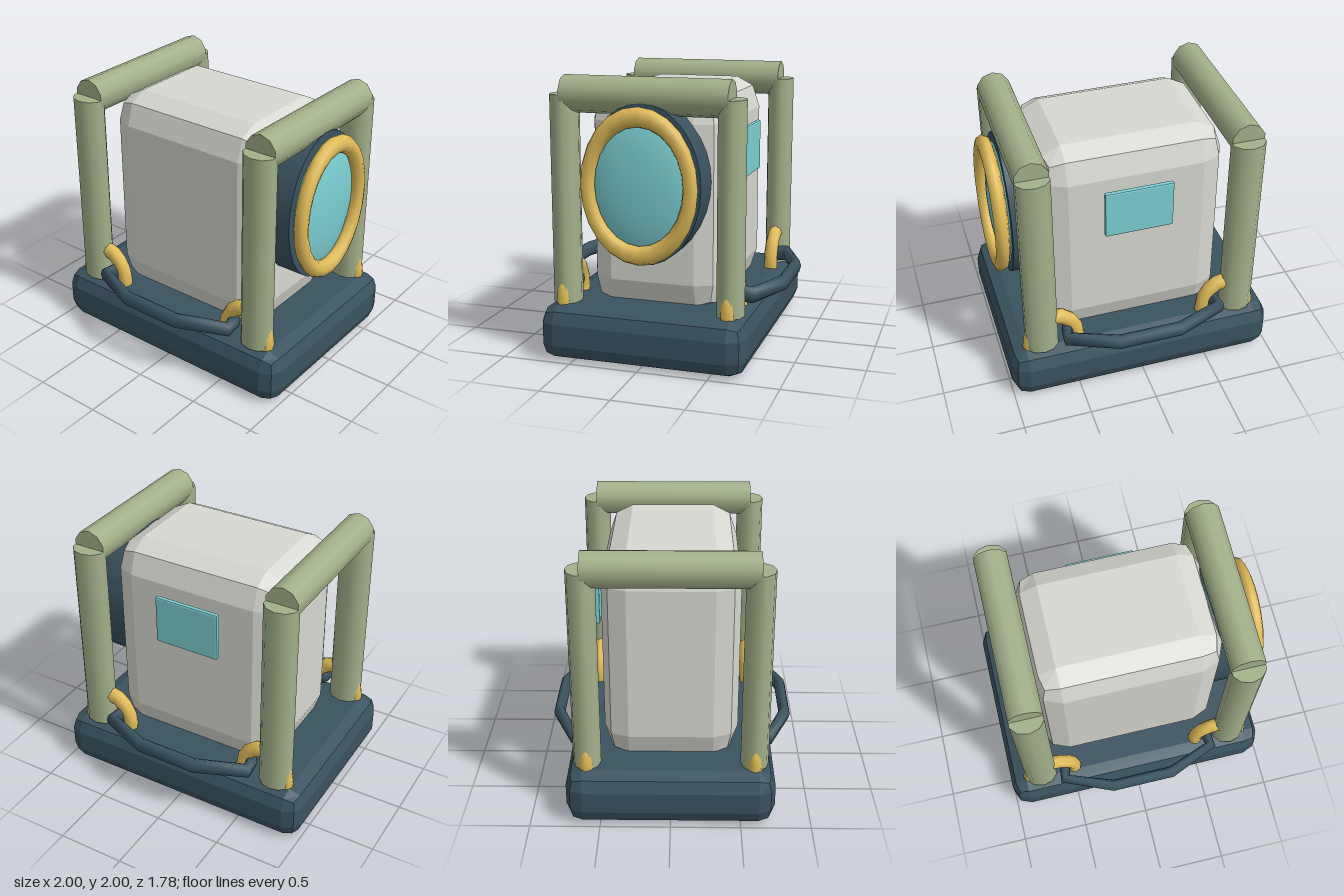
import * as THREE from 'three';
import { RoundedBoxGeometry } from 'three/addons/geometries/RoundedBoxGeometry.js';

const paint = (name, color) => {
  const m = new THREE.MeshStandardMaterial({ color });
  m.name = name;
  return m;
};

// Box with faceted bevels; stretchY elongates the bevel vertically
function bevelBox(w, h, d, r, stretchY = 1) {
  const g = new RoundedBoxGeometry(w, h / stretchY, d, 1, r);
  g.scale(1, stretchY, 1);
  g.computeVertexNormals();
  return g;
}

// Low-poly tube with rings exactly at the given points
function bentTube(points, radius, sides) {
  const path = new THREE.CatmullRomCurve3(points);
  path.getPointAt = path.getPoint;
  path.getTangentAt = path.getTangent;
  return new THREE.TubeGeometry(path, points.length - 1, radius, sides, false);
}

export function createModel() {
  const model = new THREE.Group();
  const navy = paint('navy', 0x3a5360);
  const grey = paint('light grey', 0xd8d8d2);
  const olive = paint('olive', 0xa3b18a);
  const gold = paint('gold', 0xe2bd5a);
  const teal = paint('teal', 0x7ccfd3);

  const add = (name, geometry, material, x, y, z) => {
    const mesh = new THREE.Mesh(geometry, material);
    mesh.name = name;
    mesh.position.set(x, y, z);
    model.add(mesh);
    return mesh;
  };

  // Base and main body
  add('base', bevelBox(2, 0.395, 1.49, 0.12), navy, 0, 0.1975, 0);
  add('body', bevelBox(1.34, 1.58, 0.97, 0.18, 1.25), grey, 0, 1.11, 0);

  // Roll frame: four posts with a bar over each side
  const postGeo = new THREE.CylinderGeometry(0.1, 0.1, 1.475, 10).scale(1.235, 1, 1);
  const barGeo = new THREE.CylinderGeometry(0.13, 0.13, 1.19, 10)
    .rotateX(Math.PI / 2).scale(0.95, 1, 1);
  // Keep a ridge on top of the bar
  const footRingGeo = new THREE.TorusGeometry(0.18, 0.052, 8, 16).scale(1, 1.22, 1);
  for (const sx of [-1, 1]) {
    add('topBar', barGeo, olive, sx * 0.755, 1.87, 0);
    for (const sz of [-1, 1]) {
      add('post', postGeo, olive, sx * 0.755, 1.1325, sz * 0.597);
      add('footRing', footRingGeo, gold, sx * 0.665, 0.42, sz * 0.597);
    }
  }

  // Bent carrying handles, front and back
  const half = [[0.56, 0.6], [0.58, 0.71], [0.23, 0.848]];
  const outline = [
    ...half.map(([x, z]) => [-x, z]),
    ...half.slice().reverse(),
  ];
  const handleGeo = bentTube(outline.map(([x, z]) => new THREE.Vector3(x, 0, z)), 0.043, 8)
    .scale(1, 1.4, 1);
  const handleEndGeo = new THREE.SphereGeometry(0.043, 8, 6).scale(1, 1.4, 1);
  for (const turn of [0, Math.PI]) {
    const handle = add(turn ? 'backHandle' : 'frontHandle', handleGeo, navy, 0, 0.495, 0);
    handle.rotation.y = turn;
    for (const sx of [-1, 1]) {
      const end = new THREE.Mesh(handleEndGeo, navy);
      end.name = 'handleEnd';
      end.position.set(sx * 0.56, 0, 0.6);
      handle.add(end);
    }
  }

  // Oval porthole on the left side: housing, rim and domed glass
  const housingGeo = new THREE.CylinderGeometry(0.418, 0.418, 0.275, 32)
    .rotateZ(Math.PI / 2).scale(1, 1.325, 1);
  add('portholeHousing', housingGeo, navy, 0.7375, 1.28, 0);
  const rimGeo = new THREE.TorusGeometry(0.363, 0.052, 8, 24)
    .rotateY(Math.PI / 2).scale(1, 1.3, 1);
  add('portholeRim', rimGeo, gold, 0.937, 1.28, 0);
  const glassGeo = new THREE.SphereGeometry(1, 24, 16).scale(0.09, 0.48, 0.37);
  add('portholeGlass', glassGeo, teal, 0.865, 1.28, 0);

  // Panel on the back
  add('backPanel', bevelBox(0.5, 0.365, 0.036, 0.012), teal, 0, 1.42, -0.537);

  return model;
}
